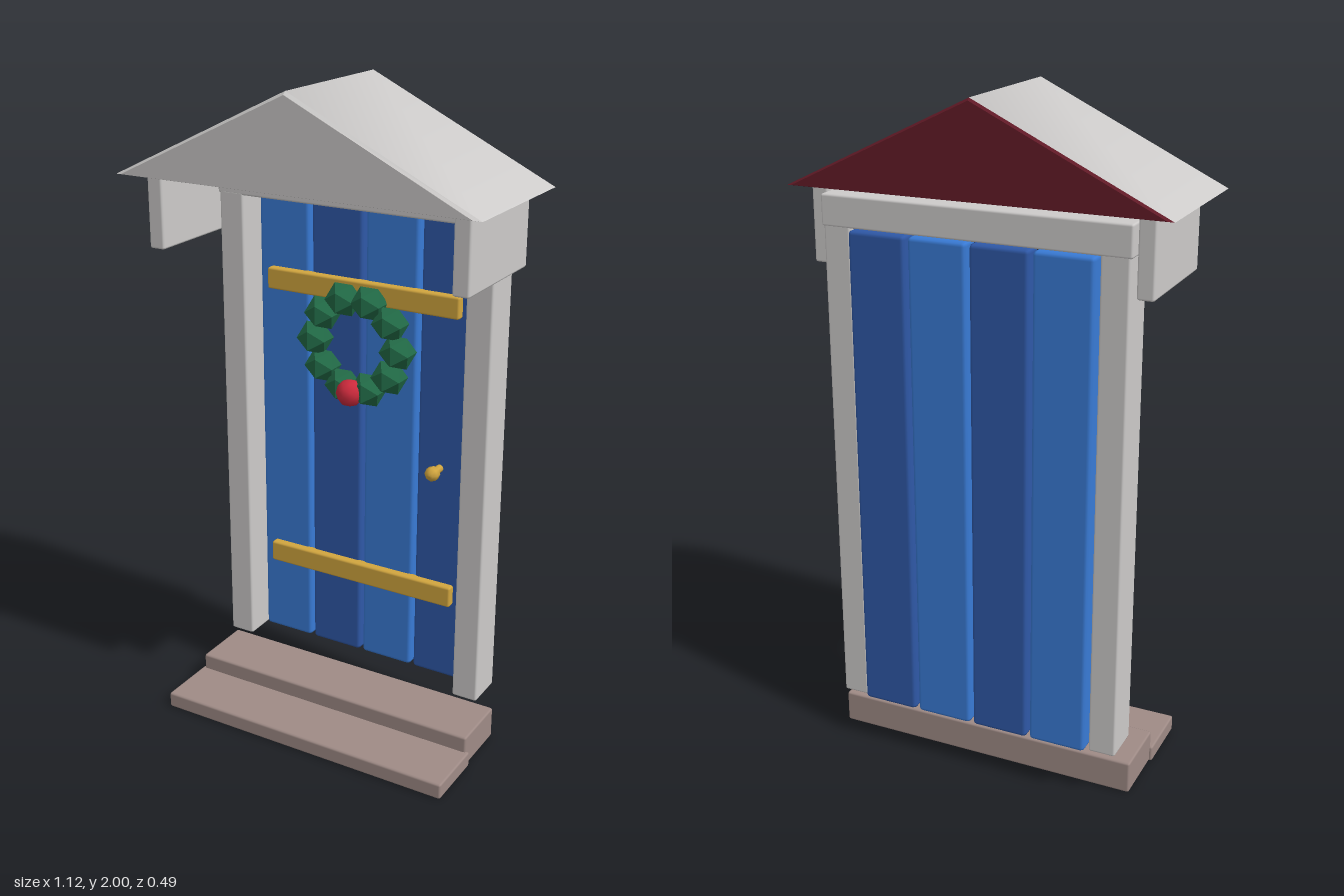
import * as THREE from 'three';
import { RoundedBoxGeometry } from 'three/addons/geometries/RoundedBoxGeometry.js';

const paint = (name, color) => {
  const m = new THREE.MeshStandardMaterial({ color });
  m.name = name;
  return m;
};

export function createModel() {
  const model = new THREE.Group();
  model.name = 'doorway';
  const stone = paint('pale grey', 0xcdcbca);
  const maroon = paint('maroon', 0x641b28);
  const blueLight = paint('light blue', 0x397bd6);
  const blueDark = paint('dark blue', 0x2f59a8);
  const brass = paint('brass', 0xd2a63f);
  const leaf = paint('green', 0x226b47);
  const red = paint('red', 0xcc2a3c);
  const stepGrey = paint('step brown', 0x9f8b86);

  const add = (name, geometry, material, x = 0, y = 0, z = 0, parent = model) => {
    const mesh = new THREE.Mesh(geometry, material);
    mesh.name = name;
    mesh.position.set(x, y, z);
    parent.add(mesh);
    return mesh;
  };

  // Box with softened edges, given by its lower and upper limits
  const block = (name, material, [x0, x1], [y0, y1], [z0, z1], bevel = 0.007) =>
    add(name, new RoundedBoxGeometry(x1 - x0, y1 - y0, z1 - z0, 1, bevel), material,
      (x0 + x1) / 2, (y0 + y1) / 2, (z0 + z1) / 2);

  // Steps
  block('lowerStep', stepGrey, [-0.487, 0.487], [0, 0.05], [0.012, 0.21]);
  block('upperStep', stepGrey, [-0.478, 0.478], [0, 0.1], [-0.17, 0.025]);

  // Frame: posts, lintel and roof brackets
  for (const [side, s] of [['left', 1], ['right', -1]]) {
    const span = (a, b) => (s > 0 ? [a, b] : [-b, -a]);
    block(side + 'Post', stone, span(0.368, 0.45), [0.15, 1.635], [-0.225, -0.1]);
    block(side + 'Bracket', stone, span(0.455, 0.505), [1.51, 1.728], [-0.19, 0.175]);
  }
  block('lintel', stone, [-0.456, 0.456], [1.625, 1.716], [-0.227, -0.1]);

  // Door planks in alternating blues
  for (let i = 0; i < 4; i++) {
    const x = (i - 1.5) * 0.1835;
    block('plank' + (i + 1), i % 2 ? blueDark : blueLight,
      [x - 0.087, x + 0.087], [0.155, 1.626], [-0.248, -0.18], 0.012);
  }

  // Brass battens
  block('lowerBatten', brass, [-0.322, 0.322], [0.413, 0.48], [-0.19, -0.155]);
  block('upperBatten', brass, [-0.322, 0.322], [1.335, 1.402], [-0.19, -0.155]);

  // Knob, with its profile turned around the z axis
  const knobProfile = [[0.012, 0], [0.012, 0.03], [0.022, 0.042], [0.022, 0.06], [0.012, 0.072], [0, 0.074]]
    .map(([r, h]) => new THREE.Vector2(r, h));
  add('knob', new THREE.LatheGeometry(knobProfile, 8), brass, 0.265, 0.86, -0.182).rotation.x = Math.PI / 2;

  // Wreath: a ring of ten faceted tufts with one berry
  const wreath = new THREE.Group();
  wreath.name = 'wreath';
  wreath.position.set(0, 1.215, -0.135);
  model.add(wreath);
  const tuft = new THREE.IcosahedronGeometry(0.056, 0);
  for (let i = 0; i < 10; i++) {
    const a = (i / 10) * Math.PI * 2;
    add('tuft' + (i + 1), tuft, leaf, Math.cos(a) * 0.14, Math.sin(a) * 0.14, 0, wreath);
  }
  add('berry', new THREE.IcosahedronGeometry(0.042, 1), red, 0, -0.14, 0.035, wreath);

  // Gable roof, from triangular cross-sections: right eave, left eave, ridge
  const section = (z, inset) => [
    [-0.562 + inset * 2.5, 1.73 + inset * 0.3, z],
    [0.562 - inset * 2.5, 1.73 + inset * 0.3, z],
    [0, 2 - inset, z],
  ];
  const front = section(0.237, 0), frontCap = section(0.246, 0.009);
  const back = section(-0.224, 0), backCap = section(-0.231, 0.007);
  const surface = (points, faces, flat = true) => {
    let g = new THREE.BufferGeometry();
    g.setAttribute('position', new THREE.Float32BufferAttribute(points.flat(), 3));
    g.setIndex(faces);
    if (flat) g = g.toNonIndexed();
    g.computeVertexNormals();
    return g;
  };
  const ring = [];
  for (let i = 0; i < 3; i++) {
    const j = (i + 1) % 3;
    ring.push(i, j, j + 3, i, j + 3, i + 3);
  }
  const roof = new THREE.Group();
  roof.name = 'roof';
  model.add(roof);
  // Slopes share the ridge so that it shades softly
  add('roofSlopes', surface([...front, ...back], [1, 4, 5, 1, 5, 2, 2, 5, 3, 2, 3, 0], false), stone, 0, 0, 0, roof);
  add('frontGable', surface([...front, ...frontCap], [...ring, 3, 4, 5]), stone, 0, 0, 0, roof);
  add('backGable', surface([...back, ...backCap], [...ring, 3, 4, 5].reverse()), maroon, 0, 0, 0, roof);
  add('soffit', surface([...front, ...back], [0, 3, 4, 0, 4, 1]), maroon, 0, 0, 0, roof);

  return model;
}
